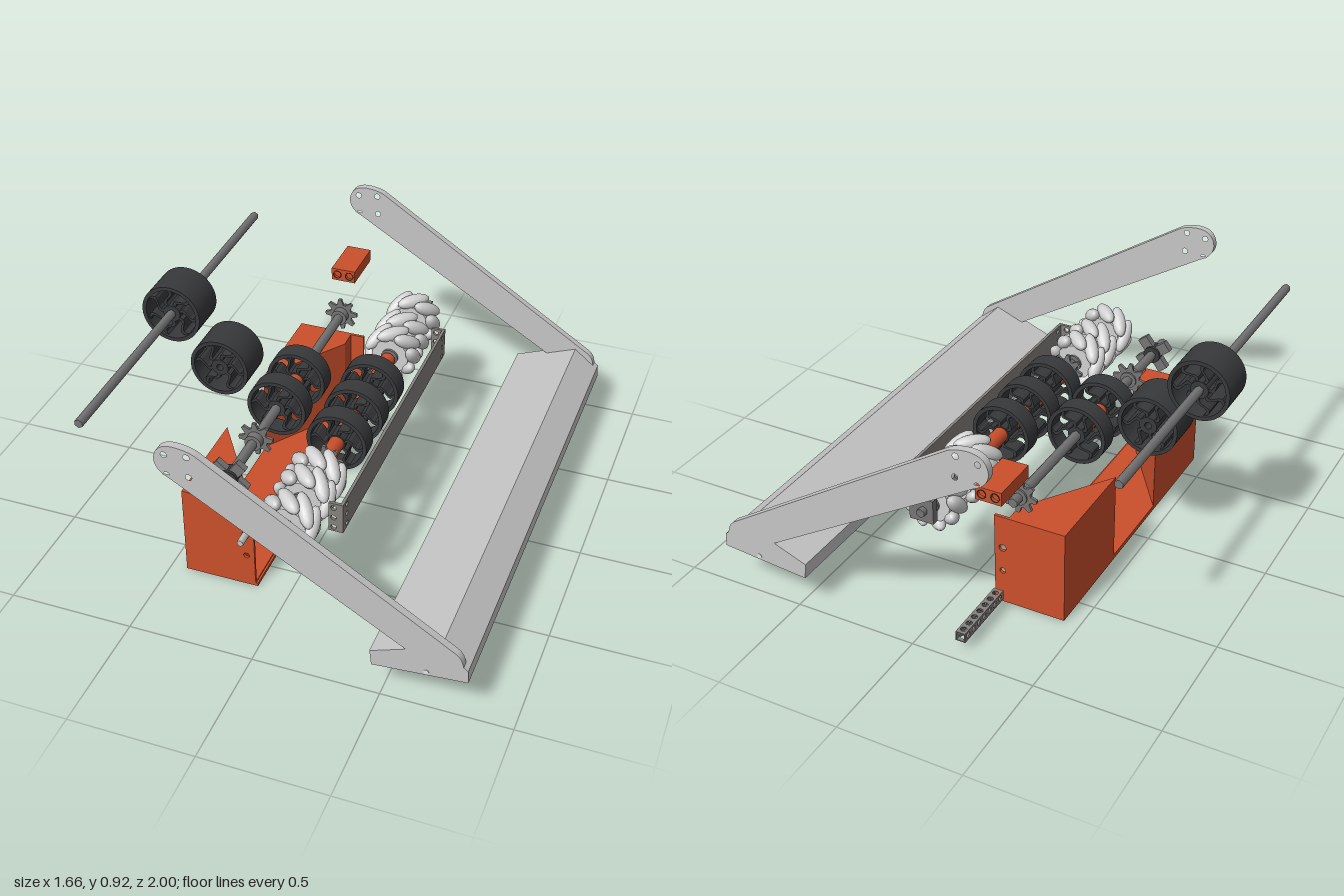
import * as THREE from 'three';
import { toCreasedNormals } from 'three/addons/utils/BufferGeometryUtils.js';

const mat = (name, color) => {
  const m = new THREE.MeshStandardMaterial({ color });
  m.name = name;
  return m;
};

export function createModel() {
  const root = new THREE.Group();
  root.name = 'intakeAssembly';
  const light = mat('light aluminium', 0xc6c6c6);
  const roller = mat('roller grey', 0xd2d2d2);
  const orange = mat('orange', 0xcb4f2b);
  const black = mat('wheel black', 0x38393b);
  const steel = mat('steel grey', 0x757575);
  const plateGrey = mat('plate grey', 0x85817e);
  const pale = mat('slot white', 0xf2f2f2);

  const add = (name, geo, material, x = 0, y = 0, z = 0, parent = root) => {
    const m = new THREE.Mesh(geo, material);
    m.name = name;
    m.position.set(x, y, z);
    parent.add(m);
    return m;
  };
  const group = (name, x, y, z, parent = root) => {
    const g = new THREE.Group();
    g.name = name;
    g.position.set(x, y, z);
    parent.add(g);
    return g;
  };
  const poly = pts => new THREE.Shape(pts.map(p => new THREE.Vector2(p[0], p[1])));
  const hole = (s, x, y, r) => s.holes.push(new THREE.Path().absarc(x, y, r, 0, Math.PI * 2, true));
  // Extrusion along z, centred on z = 0
  const slab = (shape, depth) => new THREE.ExtrudeGeometry(shape,
    { depth, bevelEnabled: false, curveSegments: 12 }).translate(0, 0, -depth / 2);
  // Solid cylinder and ring with their axis along z
  const rod = (r, len, n = 20) => new THREE.CylinderGeometry(r, r, len, n).rotateX(Math.PI / 2);
  const ring = (ri, ro, len) => {
    const h = len / 2;
    const p = [[ri, -h], [ro, -h], [ro, h], [ri, h], [ri, -h]].map(q => new THREE.Vector2(q[0], q[1]));
    return toCreasedNormals(new THREE.LatheGeometry(p, 40).rotateX(Math.PI / 2), 0.6);
  };
  const rect = (x0, y0, x1, y1) => poly([[x0, y0], [x1, y0], [x1, y1], [x0, y1]]);

  // Side arms
  const arm = new THREE.Shape();
  arm.moveTo(0.6, 0.25);
  arm.lineTo(-0.278, 0.775);
  arm.quadraticCurveTo(-0.335, 0.8, -0.336, 0.85);
  arm.quadraticCurveTo(-0.33, 0.915, -0.26, 0.917);
  arm.quadraticCurveTo(-0.21, 0.915, -0.18, 0.9);
  arm.lineTo(0.775, 0.292);
  arm.quadraticCurveTo(0.8, 0.275, 0.805, 0.235);
  for (const [x, y] of [[-0.295, 0.875], [-0.21, 0.885], [-0.29, 0.79], [-0.205, 0.8]]) hole(arm, x, y, 0.012);
  for (const s of [1, -1]) add('sideArm', slab(arm, 0.03), light, 0, 0, s * 0.985);

  // Cross bar with a ridge, plus slots on its underside
  add('crossBar', slab(poly([[0.465, 0.135], [0.825, 0.167], [0.822, 0.222], [0.72, 0.303], [0.458, 0.2]]), 1.996), light);
  for (const s of [1, -1]) {
    const slot = add('barSlot', new THREE.BoxGeometry(0.022, 0.004, 0.055), pale, 0.705, 0.156, s * 0.9);
    slot.rotation.z = 0.089;
    add('barEndHole', rod(0.01, 0.004), pale, 0.67, 0.168, s * 0.998);
  }

  // Orange tray: base, end plates and triangular corner blocks
  add('trayBase', new THREE.BoxGeometry(0.295, 0.02, 1.25), orange, -0.2875, 0.01, 0);
  add('trayLip', new THREE.BoxGeometry(0.012, 0.014, 1.25), orange, -0.138, 0.007, 0);
  const end = rect(-0.435, 0.005, -0.142, 0.39);
  hole(end, -0.175, 0.25, 0.015);
  hole(end, -0.175, 0.145, 0.012);
  for (const s of [1, -1]) {
    add('trayEnd', slab(end, 0.012), orange, 0, 0, s * 0.619);
    const corner = poly([[-0.435, s * 0.19], [-0.435, s * 0.615], [-0.2, s * 0.615], [-0.2, s * 0.536]]);
    const g = new THREE.ExtrudeGeometry(corner, { depth: 0.375, bevelEnabled: false }).rotateX(Math.PI / 2);
    add('trayCorner', g, orange, 0, 0.39, 0);
  }
  add('standoff', rod(0.014, 0.06, 6), light, -0.175, 0.25, 0.65);

  // Small orange block with two blind sockets at each end
  const block = group('motorBlock', -0.253, 0.652, -0.76);
  add('blockCore', new THREE.BoxGeometry(0.105, 0.055, 0.17), orange, 0, 0, 0, block);
  const face = rect(-0.0525, -0.0275, 0.0525, 0.0275);
  for (const x of [-0.027, 0.027]) hole(face, x, 0, 0.018);
  for (const s of [1, -1]) {
    add('blockFace', slab(face, 0.015), orange, 0, 0, s * 0.0925, block);
    for (const x of [-0.027, 0.027]) add('socketRim', ring(0.016, 0.019, 0.004), black, x, 0, s * 0.0995, block);
  }

  // Square tube with holes through all four walls
  const tube = group('perforatedTube', -0.176, 0.061, -0.805);
  const wall = rect(-0.145, -0.02, 0.145, 0.02);
  for (let i = -3; i <= 3; i++) hole(wall, i * 0.04, 0, 0.012);
  for (let i = 0; i < 4; i++) {
    const g = slab(wall, 0.004).translate(0, 0, 0.018).rotateX(i * Math.PI / 2).rotateY(Math.PI / 2);
    add('tubeWall', g, plateGrey, 0, 0, 0, tube);
  }

  // Channel plate with folded ends
  const web = rect(-0.625, 0.376, 0.625, 0.506);
  const flange = rect(0.165, 0.376, 0.222, 0.506);
  for (const y of [0.395, 0.44, 0.485]) {
    for (const s of [1, -1]) hole(web, s * 0.585, y, 0.01);
    hole(flange, 0.184, y, 0.011);
  }
  add('channelWeb', slab(web, 0.012).rotateY(Math.PI / 2), plateGrey, 0.216, 0, 0);
  for (const s of [1, -1]) add('channelFlange', slab(flange, 0.012), plateGrey, 0, 0, s * 0.62);

  // Black wheel with S-shaped spokes
  const spoke = (() => {
    const a = [], b = [];
    for (let i = 0; i <= 8; i++) {
      const t = i / 8, r = 0.025 + t * 0.086, c = 0.018 * Math.sin(t * Math.PI * 2);
      a.push([r, c - 0.007]);
      b.unshift([r, c + 0.007]);
    }
    return poly(a.concat(b));
  })();
  const wheel = (x, y, z, width, n = 6) => {
    const g = group('drivenWheel', x, y, z);
    add('rim', ring(0.108, 0.124, width), black, 0, 0, 0, g);
    add('hub', ring(0.014, 0.036, width * 0.9), black, 0, 0, 0, g);
    const geo = slab(spoke, width * 0.85);
    for (let i = 0; i < n; i++) add('spoke', geo, black, 0, 0, 0, g).rotation.z = i * Math.PI * 2 / n;
  };

  // Toothed sprocket with a hub
  const sprocket = (x, y, z) => {
    const pts = [];
    for (let i = 0; i < 32; i++) {
      const r = i % 4 < 2 ? 0.072 : 0.048, t = i * Math.PI / 16;
      pts.push([r * Math.cos(t), r * Math.sin(t)]);
    }
    const g = group('sprocket', x, y, z);
    add('teeth', slab(poly(pts), 0.012), steel, 0, 0, 0, g);
    add('sprocketHub', rod(0.034, 0.05), steel, 0, 0, 0.012, g);
  };

  // Roller wheel: hub and a row of slanted barrels
  const barrel = new THREE.SphereGeometry(1, 14, 10).scale(0.03, 0.03, 0.075);
  const rollerRow = (z, slant) => {
    const g = group('rollerWheel', 0.047, 0.463, z);
    add('rollerHub', ring(0.02, 0.078, 0.075), roller, 0, 0, 0, g);
    add('hubCap', ring(0.018, 0.036, 0.095), steel, 0, 0, 0, g);
    for (let i = 0; i < 8; i++) {
      const p = group('rollerMount', 0, 0, 0, g);
      p.rotation.z = i * Math.PI / 4;
      add('roller', barrel, roller, 0.089, 0, 0, p).rotation.x = slant * Math.PI / 4;
    }
  };

  // Upper rod and the two wide wheels
  add('upperShaft', rod(0.018, 1.63, 6), steel, -0.71, 0.795, 0.035);
  wheel(-0.71, 0.795, -0.007, 0.165, 7);
  wheel(-0.512, 0.583, -0.007, 0.165, 6);

  // Middle shaft
  const mx = -0.24, my = 0.495;
  add('middleShaft', rod(0.02, 1.35, 6), steel, mx, my, 0.015);
  add('middleSleeve', rod(0.03, 0.18), orange, mx, my, -0.005);
  wheel(mx, my, -0.107, 0.078);
  wheel(mx, my, 0.102, 0.078);
  sprocket(mx, my, -0.605);
  sprocket(mx, my, 0.345);
  const cross = group('crossBracket', mx, my, 0.592);
  for (const s of [1, -1]) {
    add('crossArm', new THREE.BoxGeometry(0.16, 0.045, 0.028), steel, 0, 0, 0, cross).rotation.z = s * Math.PI / 4 + 0.12;
  }
  add('crossHub', rod(0.036, 0.05), black, 0, 0, 0, cross);

  // Front shaft with roller wheels and three narrow wheels
  const fx = 0.047, fy = 0.463;
  add('frontShaft', rod(0.018, 1.63, 6), steel, fx, fy, -0.017);
  add('frontSleeve', rod(0.031, 0.74), orange, fx, fy, -0.02);
  for (const z of [-0.19, 0, 0.19]) wheel(fx, fy, z, 0.08);
  sprocket(fx, fy, 0.345);
  for (const s of [1, -1]) {
    rollerRow(s * 0.449, s);
    rollerRow(s * 0.563, s);
    rollerRow(s * 0.72, s);
  }
  add('endPlate', new THREE.BoxGeometry(0.1, 0.1, 0.03), steel, fx + 0.01, fy, -0.795);
  add('endCollar', rod(0.032, 0.03), steel, fx, fy, 0.775);

  return root;
}
